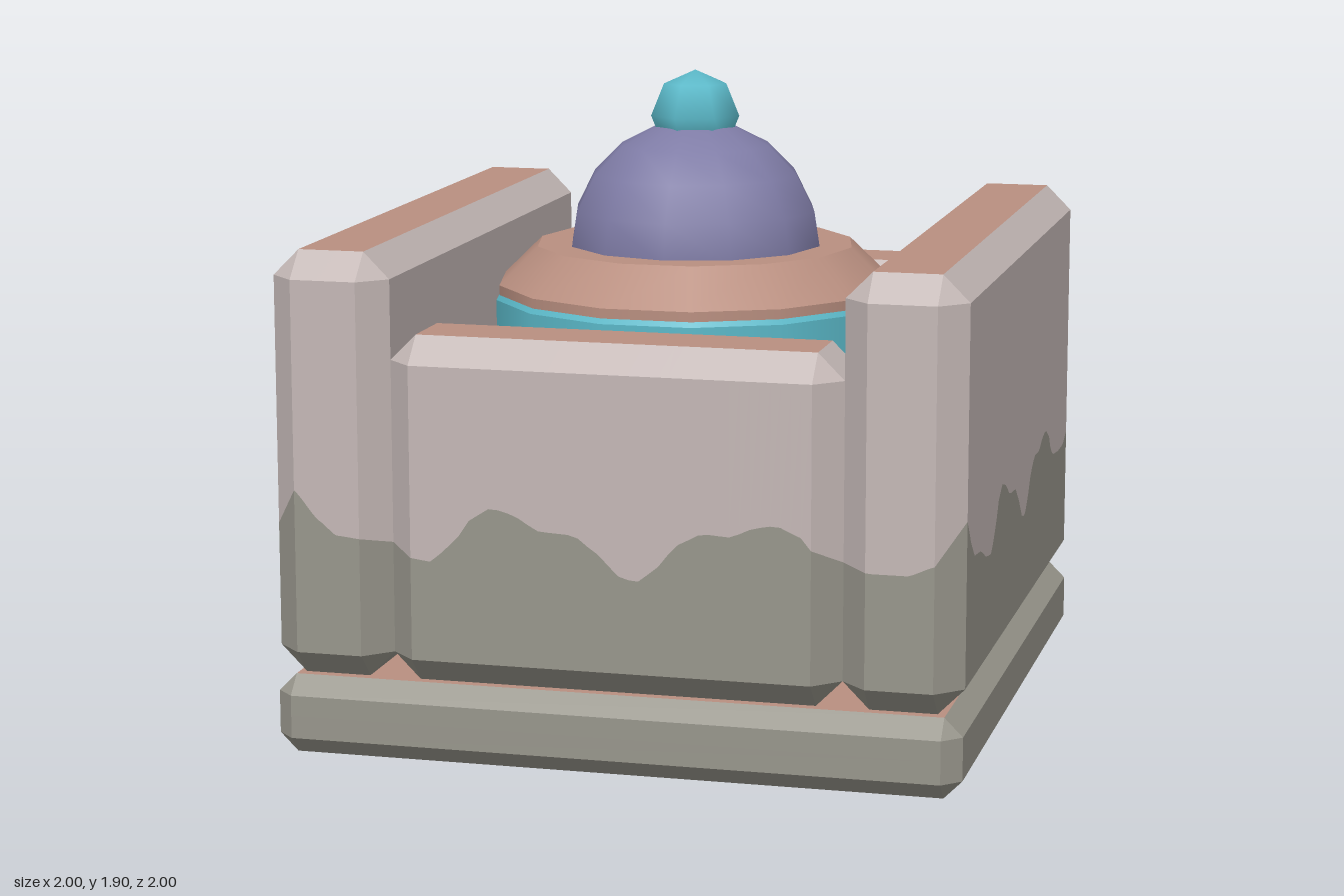
import * as THREE from 'three';

const paint = (name, color) => {
  const m = new THREE.MeshStandardMaterial({ color });
  m.name = name;
  return m;
};

// Height of the weathering line at a position along a face
const LINE = [
  [-1, .78], [-.925, .785], [-.85, .7], [-.8, .66], [-.7, .65], [-.6, .61], [-.52, .6], [-.45, .66],
  [-.4, .73], [-.34, .765], [-.28, .75], [-.2, .705], [-.1, .7], [-.03, .65], [.03, .59], [.08, .575],
  [.13, .61], [.2, .69], [.27, .725], [.35, .72], [.42, .75], [.48, .76], [.55, .73], [.6, .67],
  [.65, .65], [.75, .64], [.85, .64], [.925, .67], [1, .68],
];
function stainHeight(x, z) {
  const s = Math.abs(z) >= Math.abs(x) ? x * Math.sign(z) : -z * Math.sign(x);
  const i = Math.max(1, LINE.findIndex(p => p[0] >= s));
  const [a, b] = [LINE[i - 1], LINE[i]];
  const t = THREE.MathUtils.smoothstep(s, a[0], b[0]) * .3 + (s - a[0]) / (b[0] - a[0]) * .7;
  return a[1] + (b[1] - a[1]) * t;
}

// Flat-shaded mesh made from quads
function quadMesh(name, quads, material) {
  const pos = [];
  for (const [a, b, c, d] of quads) pos.push(...a, ...b, ...c, ...a, ...c, ...d);
  const g = new THREE.BufferGeometry();
  g.setAttribute('position', new THREE.Float32BufferAttribute(pos, 3));
  g.computeVertexNormals();
  const m = new THREE.Mesh(g, material);
  m.name = name;
  return m;
}

// Box with cut edges: sides split at splitY(x, z), top and bottom faces in a cap colour
function bevelBox(name, [x0, x1], [y0, y1], [z0, z1], b, mats, splitY, steps) {
  const rim = []; // outer point x, z and matching inset corner x, z
  const side = (ax, az, bx, bz, nx, nz) => {
    for (let i = 0; i <= steps; i++) {
      const t = i / steps, x = ax + (bx - ax) * t, z = az + (bz - az) * t;
      rim.push([x + nx * b, z + nz * b, x, z]);
    }
  };
  const [l, r, k, f] = [x0 + b, x1 - b, z0 + b, z1 - b];
  side(l, f, r, f, 0, 1);
  side(r, f, r, k, 1, 0);
  side(r, k, l, k, 0, -1);
  side(l, k, l, f, -1, 0);

  const lower = [], upper = [];
  rim.forEach((p, i) => {
    const q = rim[(i + 1) % rim.length];
    const out = (v, y) => [v[0], y, v[1]], inset = (v, y) => [v[2], y, v[3]];
    const hp = splitY(p[0], p[1]), hq = splitY(q[0], q[1]);
    lower.push([inset(p, y0), inset(q, y0), out(q, y0 + b), out(p, y0 + b)]);
    lower.push([out(p, y0 + b), out(q, y0 + b), out(q, hq), out(p, hp)]);
    upper.push([out(p, hp), out(q, hq), out(q, y1 - b), out(p, y1 - b)]);
    upper.push([out(p, y1 - b), out(q, y1 - b), inset(q, y1), inset(p, y1)]);
  });
  const caps = [
    [[l, y1, f], [r, y1, f], [r, y1, k], [l, y1, k]],
    [[l, y0, k], [r, y0, k], [r, y0, f], [l, y0, f]],
  ];
  const g = new THREE.Group();
  g.name = name;
  g.add(
    quadMesh(name + 'Lower', lower, mats[0]),
    quadMesh(name + 'Upper', upper, mats[1]),
    quadMesh(name + 'Caps', caps, mats[2]),
  );
  return g;
}

export function createModel() {
  const pale = paint('paleWall', 0xc4b8b6);
  const grey = paint('weatheredGrey', 0x98968c);
  const clay = paint('clay', 0xb98f80);
  const violet = paint('violet', 0x7f7ca6);
  const teal = paint('teal', 0x5bb9c9);
  const model = new THREE.Group();
  model.name = 'walledTurret';

  // Base slab
  model.add(bevelBox('baseSlab', [-1, 1], [0, .232], [-1, 1], .053, [grey, grey, clay], () => .12, 1));

  // Tall side walls and low end walls
  const wall = [grey, pale, clay];
  for (const s of [1, -1]) {
    const span = s > 0 ? [.655, 1] : [-1, -.655];
    model.add(bevelBox(s > 0 ? 'leftWall' : 'rightWall', span, [.234, 1.466], [-1, 1], .076, wall, stainHeight, 60));
    model.add(bevelBox(s > 0 ? 'frontWall' : 'backWall', [-.655, .655], [.234, 1.236], span, .076, wall, stainHeight, 40));
  }

  // Fourteen-sided turret, each band smooth around and sharp at its rims
  const band = (name, rTop, rBottom, yTop, yBottom, material, open = true) => {
    const g = new THREE.CylinderGeometry(rTop, rBottom, yTop - yBottom, 14, 1, open, Math.PI / 2);
    const m = new THREE.Mesh(g, material);
    m.name = name;
    m.position.y = (yTop + yBottom) / 2;
    model.add(m);
  };
  band('turretDrum', .597, .597, 1.25, .232, clay);
  band('turretTrimEdge', .597, .606, 1.243, 1.228, teal);
  band('turretTrim', .606, .606, 1.228, 1.07, teal);
  band('turretTrimUnderside', .606, .597, 1.07, 1.055, teal);
  band('turretRim', .597, .597, 1.272, 1.25, clay);
  band('turretShoulder', .48, .597, 1.386, 1.272, clay, false);

  // Dome
  const dome = new THREE.Mesh(new THREE.SphereGeometry(.385, 12, 5, 0, Math.PI * 2, 0, Math.PI / 2), violet);
  dome.name = 'dome';
  dome.position.y = 1.37;
  model.add(dome);

  // Finial
  const finial = new THREE.Mesh(new THREE.SphereGeometry(.135, 7, 4), teal);
  finial.name = 'finial';
  finial.position.y = 1.77;
  finial.rotation.y = Math.PI;
  model.add(finial);

  return model;
}
